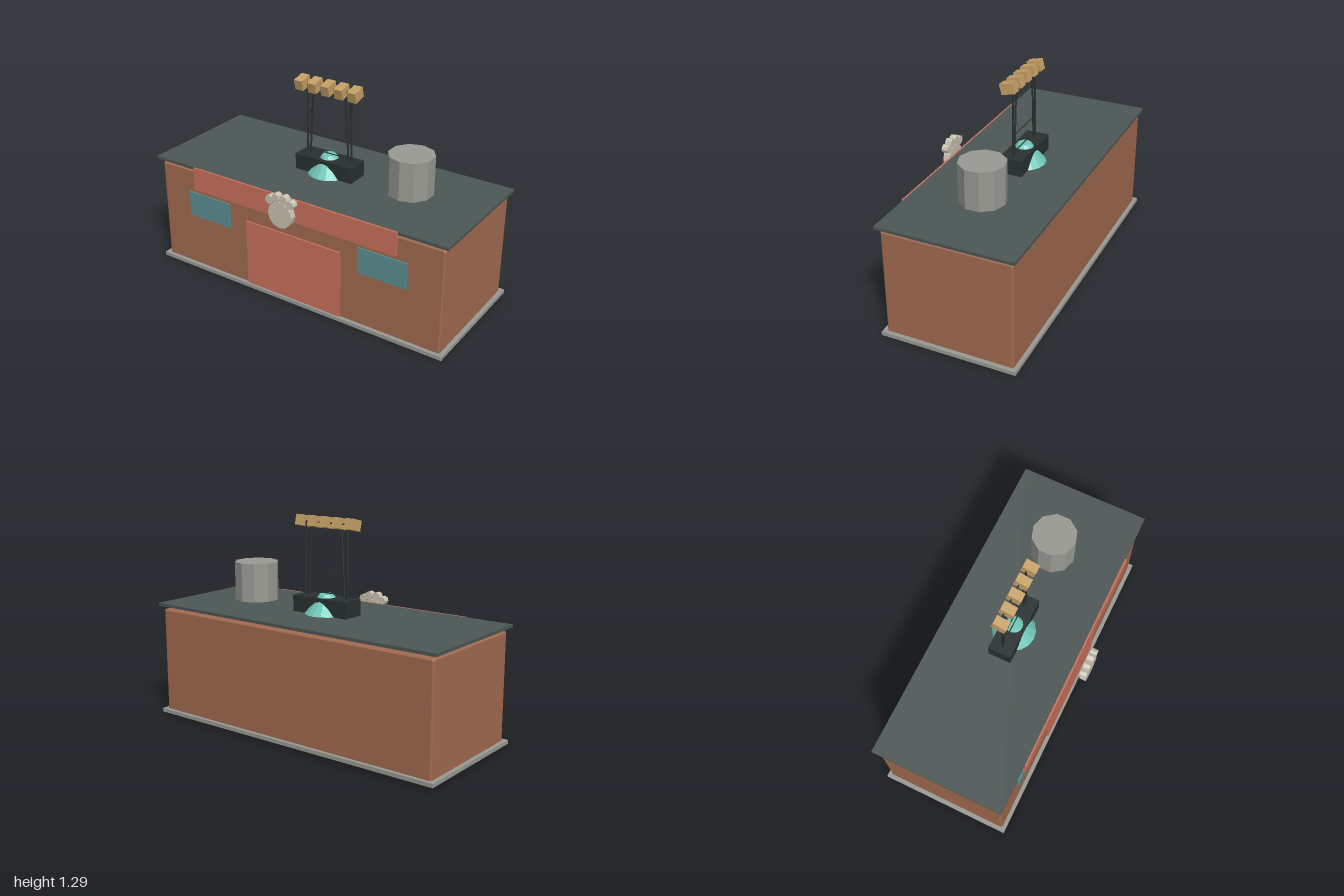
import * as THREE from 'three';
import { RoundedBoxGeometry } from 'three/addons/geometries/RoundedBoxGeometry.js';

const mat = (name, color, flatShading = false) => {
  const m = new THREE.MeshStandardMaterial({ color, flatShading });
  m.name = name;
  return m;
};

export function createModel() {
  const brick = mat('brick', 0xa26b50);
  const coral = mat('coral', 0xcb715b);
  const slate = mat('slate', 0x4d5755);
  const concrete = mat('concrete', 0x9a9a94, true);
  const glass = mat('glass', 0x5b9094);
  const teal = mat('teal', 0x70c8ba, true);
  const iron = mat('iron', 0x2a3131);
  const brass = mat('brass', 0xc6a066);
  const cream = mat('cream', 0xcbc4b4, true);

  const group = new THREE.Group();
  const add = (name, geometry, material, x, y, z, parent = group) => {
    const mesh = new THREE.Mesh(geometry, material);
    mesh.name = name;
    mesh.position.set(x, y, z);
    parent.add(mesh);
    return mesh;
  };
  // Box given by its extents on each axis
  const box = (name, material, [x0, x1], [y0, y1], [z0, z1]) =>
    add(name, new THREE.BoxGeometry(x1 - x0, y1 - y0, z1 - z0), material,
      (x0 + x1) / 2, (y0 + y1) / 2, (z0 + z1) / 2);
  // Round rod between two points in the plane z = rodZ
  const rodZ = -0.043;
  const rod = (name, x0, y0, x1, y1, r) => {
    const length = Math.hypot(x1 - x0, y1 - y0);
    const mesh = add(name, new THREE.CylinderGeometry(r, r, length, 8), iron,
      (x0 + x1) / 2, (y0 + y1) / 2, rodZ);
    mesh.rotation.z = -Math.atan2(x1 - x0, y1 - y0);
  };

  // Building shell
  box('basePlate', concrete, [-1, 1], [0.012, 0.035], [-0.45, 0.363]);
  box('underside', iron, [-0.95, 0.95], [0.01, 0.014], [-0.41, 0.32]);
  add('walls', new RoundedBoxGeometry(1.95, 0.655, 0.768, 2, 0.012), brick, 0, 0.35, -0.044);
  box('roof', slate, [-1, 1], [0.697, 0.715], [-0.447, 0.36]);

  // Front details
  box('door', coral, [-0.33, 0.33], [0.035, 0.46], [0.335, 0.35]);
  box('signBand', coral, [-0.702, 0.702], [0.57, 0.715], [0.358, 0.37]);
  for (const s of [-1, 1]) {
    const a = s * 0.45, b = s * 0.762;
    box('window', glass, [Math.min(a, b), Math.max(a, b)], [0.375, 0.536], [0.345, 0.353]);
  }

  // Paw-shaped sign floating ahead of the band
  const paw = new THREE.Group();
  paw.name = 'pawSign';
  paw.position.z = 0.435;
  group.add(paw);
  const disc = (name, r, sides, x, y) => {
    const g = new THREE.CylinderGeometry(r, r, 0.04, sides).rotateX(Math.PI / 2);
    add(name, g, cream, x, y, 0, paw);
  };
  disc('pad', 0.081, 12, 0, 0.643);
  for (const [x, y] of [[-0.07, 0.722], [-0.027, 0.743], [0.027, 0.743], [0.07, 0.722]]) {
    disc('toe', 0.027, 8, x, y);
  }

  // Roof tank
  add('tank', new THREE.CylinderGeometry(0.135, 0.135, 0.235, 10), concrete, 0.545, 0.853, -0.047);

  // Rooftop plinth with a tapered dome through it
  box('plinth', iron, [-0.195, 0.195], [0.675, 0.812], [-0.115, 0.025]);
  add('dome', new THREE.CylinderGeometry(0.04, 0.16, 0.155, 16), teal, 0, 0.753, -0.045);

  // Frame of poles and crossbars
  for (const s of [-1, 1]) {
    rod('outerPole', s * 0.154, 0.8, s * 0.15, 1.245, 0.006);
    rod('innerPole', s * 0.134, 0.8, s * 0.108, 1.245, 0.006);
  }
  rod('crossbar', -0.13, 0.835, 0.13, 0.835, 0.003);
  rod('crossbar', -0.122, 0.94, 0.122, 0.94, 0.003);
  rod('topBar', -0.18, 1.245, 0.18, 1.245, 0.004);

  // Row of tilted lamp blocks
  for (let i = -2; i <= 2; i++) {
    const lamp = add('lampBlock', new THREE.BoxGeometry(0.055, 0.063, 0.082), brass,
      i * 0.09, 1.245, -0.032);
    lamp.rotation.x = 0.24;
  }

  // Studs under the floor
  for (let i = -2; i <= 2; i++) {
    add('stud', new THREE.CylinderGeometry(0.038, 0.012, 0.012, 8), coral,
      0, 0.006, -0.045 + i * 0.117);
  }
  return group;
}
